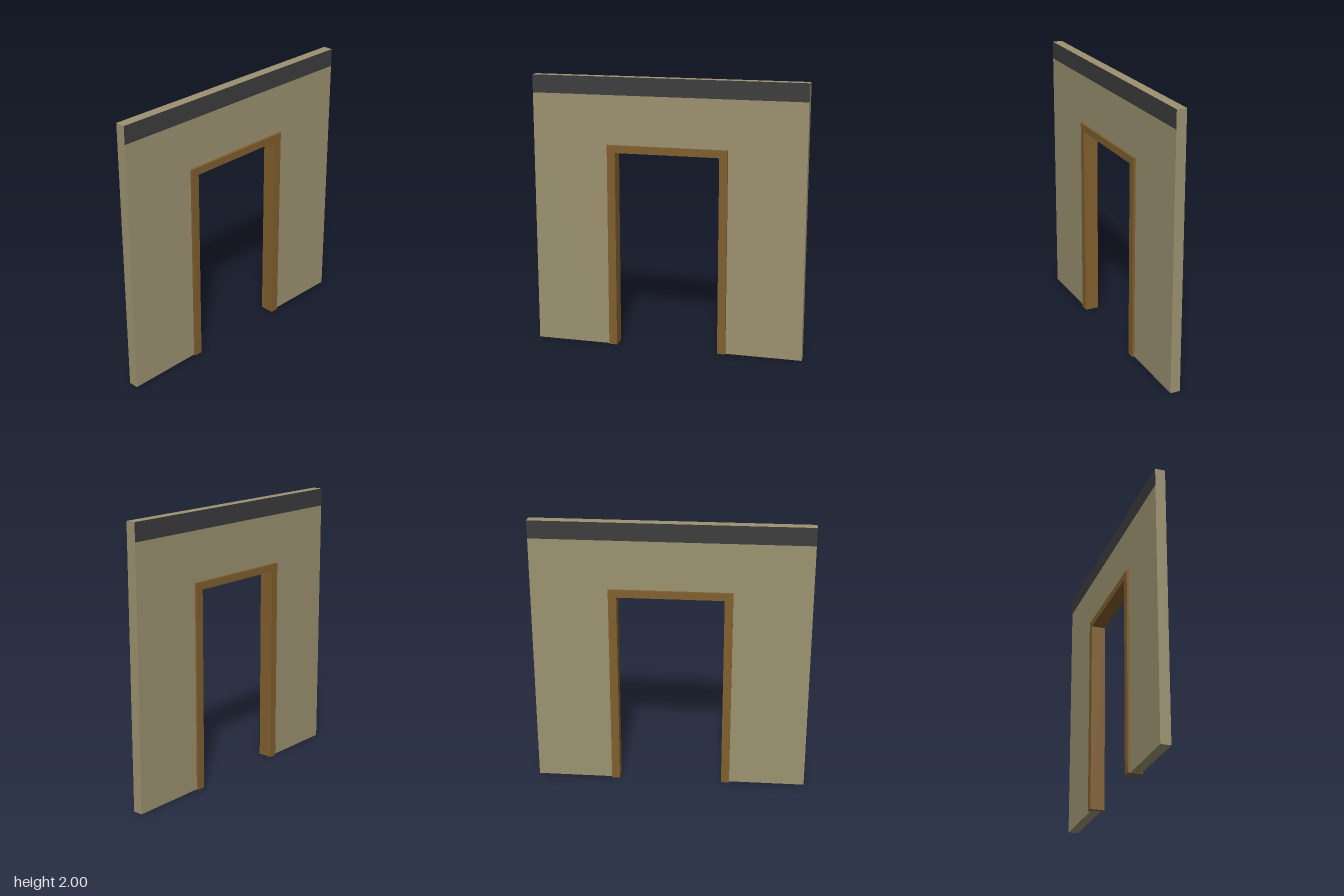
import * as THREE from 'three';

const WALL_DEPTH = 0.072, FRAME_DEPTH = 0.106, BAND_BOTTOM = 1.87;

// Upside-down U standing on the ground, extruded and centred on z
function archGeometry(outerX, outerTop, innerX, innerTop, depth) {
  const shape = new THREE.Shape([
    [-outerX, 0], [-innerX, 0], [-innerX, innerTop], [innerX, innerTop],
    [innerX, 0], [outerX, 0], [outerX, outerTop], [-outerX, outerTop],
  ].map(([x, y]) => new THREE.Vector2(x, y)));
  return new THREE.ExtrudeGeometry(shape, { depth, bevelEnabled: false }).translate(0, 0, -depth / 2);
}

export function createModel() {
  const group = new THREE.Group();
  const wallMat = new THREE.MeshStandardMaterial({ color: 0x9c9270 });
  const bandMat = new THREE.MeshStandardMaterial({ color: 0x3c3c3e });
  const frameMat = new THREE.MeshStandardMaterial({ color: 0x805f2e });

  const add = (name, geometry, material) => {
    const mesh = new THREE.Mesh(geometry, material);
    mesh.name = name;
    group.add(mesh);
    return mesh;
  };

  // Wall with the doorway cut out, its edge hidden inside the frame
  add('wall', archGeometry(1, BAND_BOTTOM, 0.41, 1.485, WALL_DEPTH), wallMat);

  // Top strip: dark on front and back, wall colour on the top and ends
  const height = 2 - BAND_BOTTOM;
  add('topBand', new THREE.BoxGeometry(2, height, WALL_DEPTH),
    [wallMat, wallMat, wallMat, wallMat, bandMat, bandMat]).position.y = BAND_BOTTOM + height / 2;

  // Door frame, standing proud of both wall faces
  add('doorFrame', archGeometry(0.442, 1.512, 0.382, 1.457, FRAME_DEPTH), frameMat);

  return group;
}
